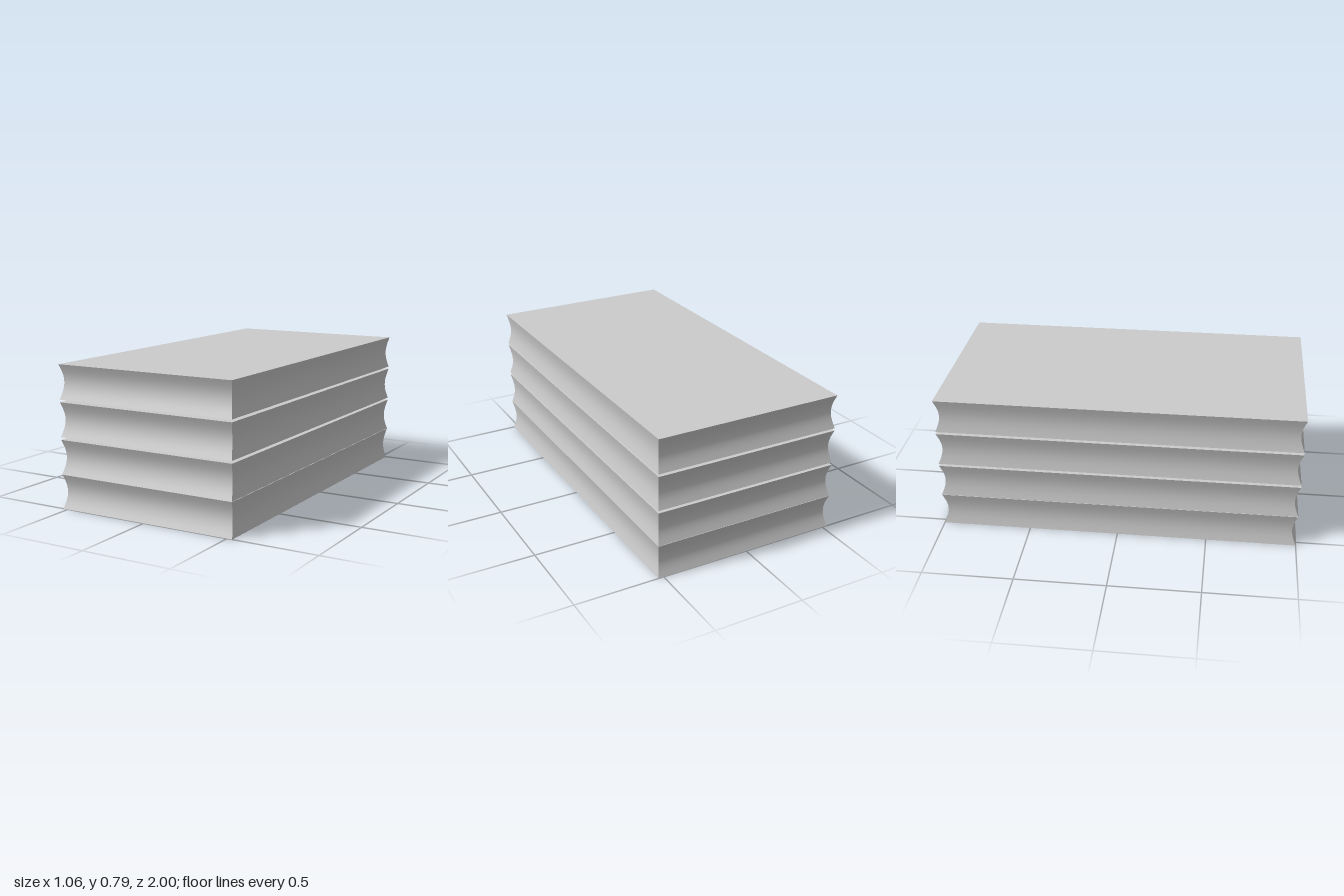
import * as THREE from 'three';

const WIDTH = 1.06, HEIGHT = 0.19, LENGTH = 2;
const PINCH = 0.026; // how far the waist narrows, as a share of the half size

// Slab whose four sides curve inward at mid height
function slabGeometry() {
  const geometry = new THREE.BoxGeometry(WIDTH, HEIGHT, LENGTH, 1, 16, 1);
  const pos = geometry.attributes.position;
  for (let i = 0; i < pos.count; i++) {
    const t = pos.getY(i) / HEIGHT + 0.5;
    const scale = 1 - PINCH * Math.sin(Math.PI * t);
    pos.setX(i, pos.getX(i) * scale);
    pos.setZ(i, pos.getZ(i) * scale);
  }
  geometry.computeVertexNormals();
  return geometry;
}

export function createModel() {
  const group = new THREE.Group();
  group.name = 'slabStack';
  const material = new THREE.MeshStandardMaterial({ color: 0xcccccc });
  const geometry = slabGeometry();

  // Lower two slabs touch, the upper two float with a narrow gap
  [0, 0.192, 0.396, 0.6].forEach((bottom, i) => {
    const slab = new THREE.Mesh(geometry, material);
    slab.name = `slab${i + 1}`;
    slab.position.y = bottom + HEIGHT / 2;
    group.add(slab);
  });
  return group;
}
